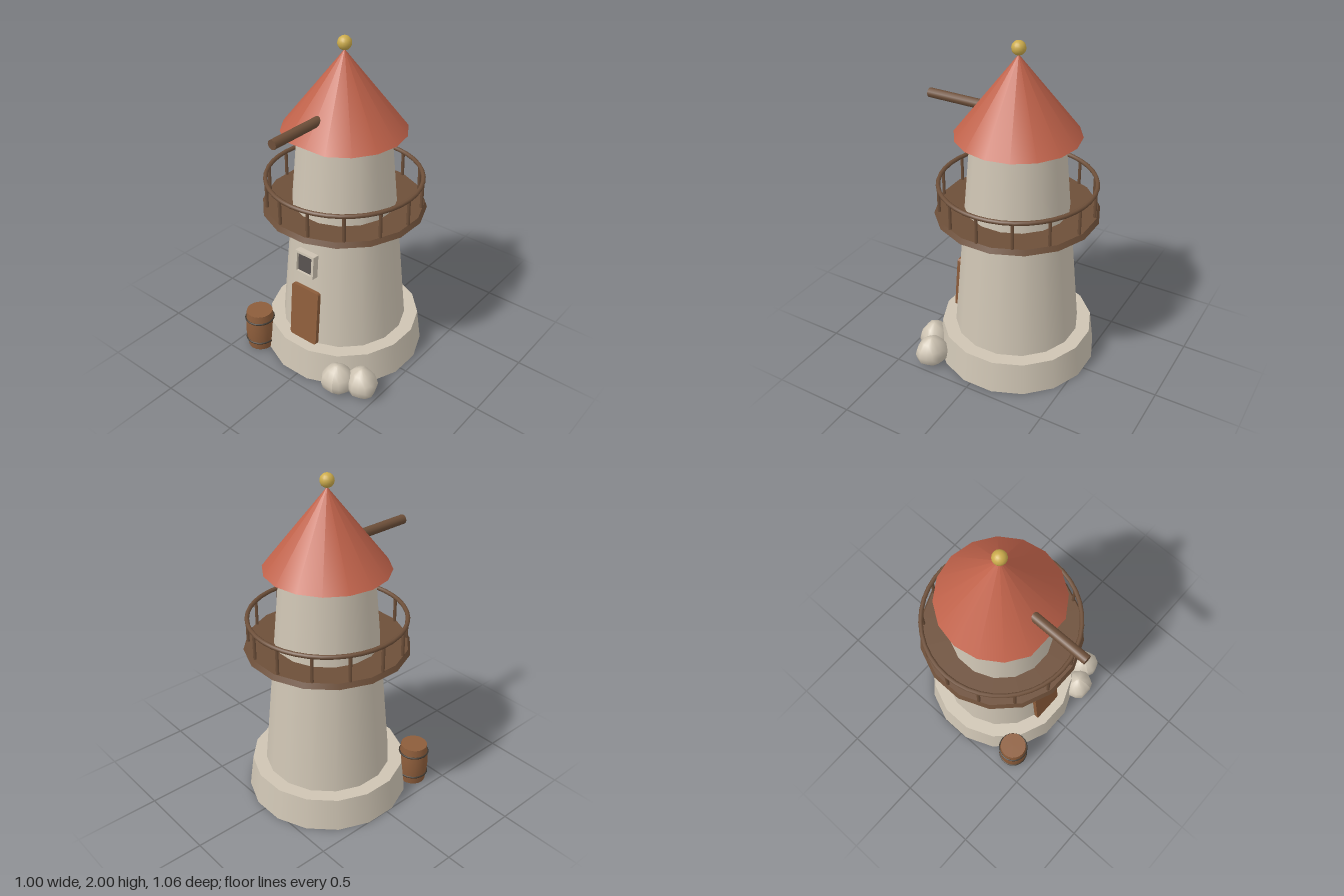
import * as THREE from 'three';

const mat = (name, color, side = THREE.FrontSide) => {
  const m = new THREE.MeshStandardMaterial({ color, side });
  m.name = name;
  return m;
};

export function createModel() {
  const stone = mat('stone', 0xcec4b3);
  const roofRed = mat('roof red', 0xc0624a);
  const darkWood = mat('dark wood', 0x6d4f39);
  const doorWood = mat('door wood', 0x8d5d3b);
  const iron = mat('iron', 0x40382f);
  const glass = mat('window grey', 0x56514f);
  const gold = mat('gold', 0xcbab4c);

  const model = new THREE.Group();
  model.name = 'tower';
  const add = (parent, name, geometry, material, x = 0, y = 0, z = 0) => {
    const mesh = new THREE.Mesh(geometry, material);
    mesh.name = name;
    mesh.position.set(x, y, z);
    parent.add(mesh);
    return mesh;
  };

  // Everything on the tower axis
  const axis = new THREE.Group();
  axis.name = 'towerBody';
  axis.position.set(-0.023, 0, -0.05);
  model.add(axis);

  const SIDES = 16;
  const drum = (rTop, rBottom, h) =>
    new THREE.CylinderGeometry(rTop, rBottom, h, SIDES).rotateY(Math.PI / SIDES);

  add(axis, 'base', drum(0.463, 0.488, 0.2), stone, 0, 0.1);
  add(axis, 'wall', drum(0.265, 0.381, 1.29), stone, 0, 0.835);

  // Roof cone, cut straight over the front eave
  const cone = new THREE.ConeGeometry(0.36, 0.46, SIDES);
  const p = cone.attributes.position;
  for (let i = 0; i < p.count; i++) {
    if (p.getZ(i) > 0.345) p.setZ(i, 0.36 * Math.cos(Math.PI / 8));
  }
  add(axis, 'roof', cone, roofRed, 0, 1.695);
  add(axis, 'finial', new THREE.SphereGeometry(0.04, 16, 12), gold, 0, 1.96);
  add(axis, 'beam', new THREE.CylinderGeometry(0.028, 0.028, 0.48, 12).rotateX(Math.PI / 2),
    darkWood, 0, 1.59, 0.34);

  // Balcony with a round rail on fourteen posts
  const balcony = new THREE.Group();
  balcony.name = 'balcony';
  axis.add(balcony);
  add(balcony, 'floor', drum(0.467, 0.482, 0.03), darkWood, 0, 0.995);
  add(balcony, 'rail', new THREE.TorusGeometry(0.453, 0.013, 8, 40).rotateX(Math.PI / 2),
    darkWood, 0, 1.167);
  const postGeo = new THREE.CylinderGeometry(0.01, 0.01, 0.16, 6);
  for (let i = 0; i < 14; i++) {
    const a = ((i + 0.5) / 14) * Math.PI * 2;
    add(balcony, 'post', postGeo, darkWood, 0.453 * Math.sin(a), 1.087, 0.453 * Math.cos(a));
  }

  // Door and window lean back with the wall
  const roundRect = (w, h, r, Type = THREE.Shape) => {
    const s = new Type(), x = w / 2, y = h / 2;
    s.moveTo(-x + r, -y).lineTo(x - r, -y).quadraticCurveTo(x, -y, x, -y + r);
    s.lineTo(x, y - r).quadraticCurveTo(x, y, x - r, y);
    s.lineTo(-x + r, y).quadraticCurveTo(-x, y, -x, y - r);
    s.lineTo(-x, -y + r).quadraticCurveTo(-x, -y, -x + r, -y);
    return s;
  };
  const LEAN = -0.088;
  const slab = (shape, depth) =>
    new THREE.ExtrudeGeometry(shape, { depth, bevelEnabled: false, curveSegments: 4 });

  add(axis, 'door', slab(roundRect(0.2, 0.36, 0.02), 0.025), doorWood, 0, 0.383, 0.356)
    .rotation.x = LEAN;

  const windowGroup = new THREE.Group();
  windowGroup.name = 'window';
  windowGroup.position.set(0, 0.733, 0.327);
  windowGroup.rotation.x = LEAN;
  axis.add(windowGroup);
  const frame = roundRect(0.14, 0.148, 0.004);
  frame.holes.push(roundRect(0.108, 0.118, 0.002, THREE.Path));
  add(windowGroup, 'windowFrame', slab(frame, 0.042), stone);
  add(windowGroup, 'windowPane', new THREE.BoxGeometry(0.112, 0.122, 0.008), glass, 0, 0, 0.022);

  // Barrel
  const lathe = (points, n) =>
    new THREE.LatheGeometry(points.map(([r, y]) => new THREE.Vector2(r, y)), n);
  const barrel = new THREE.Group();
  barrel.name = 'barrel';
  barrel.position.set(-0.373, 0, 0.355);
  model.add(barrel);
  add(barrel, 'staves',
    lathe([[0.079, 0], [0.086, 0.05], [0.091, 0.13], [0.086, 0.205], [0.08, 0.255]], 20), doorWood);
  add(barrel, 'lid', new THREE.CylinderGeometry(0.08, 0.08, 0.01, 20), doorWood, 0, 0.251);
  add(barrel, 'bottom', new THREE.CylinderGeometry(0.079, 0.079, 0.01, 20), doorWood, 0, 0.005);
  for (const y of [0.055, 0.205]) {
    add(barrel, 'hoop', new THREE.TorusGeometry(0.087, 0.006, 6, 24).rotateX(Math.PI / 2), iron, 0, y);
  }

  // Boulders with uneven sides
  const rock = (x, z, turn) => {
    const g = lathe([[0, 0], [0.055, 0.002], [0.085, 0.03], [0.096, 0.075], [0.086, 0.115],
      [0.055, 0.155], [0.02, 0.176], [0, 0.178]], 14);
    const q = g.attributes.position;
    for (let i = 0; i < q.count; i++) {
      const a = Math.atan2(q.getZ(i), q.getX(i));
      const k = 1 + 0.07 * Math.cos(2 * a) + 0.05 * Math.cos(5 * a);
      q.setX(i, q.getX(i) * k);
      q.setZ(i, q.getZ(i) * k);
    }
    g.computeVertexNormals();
    add(model, 'rock', g, stone, x, 0, z).rotation.y = turn;
  };
  rock(0.27, 0.375, 0.3);
  rock(0.4, 0.31, -0.5);

  return model;
}
